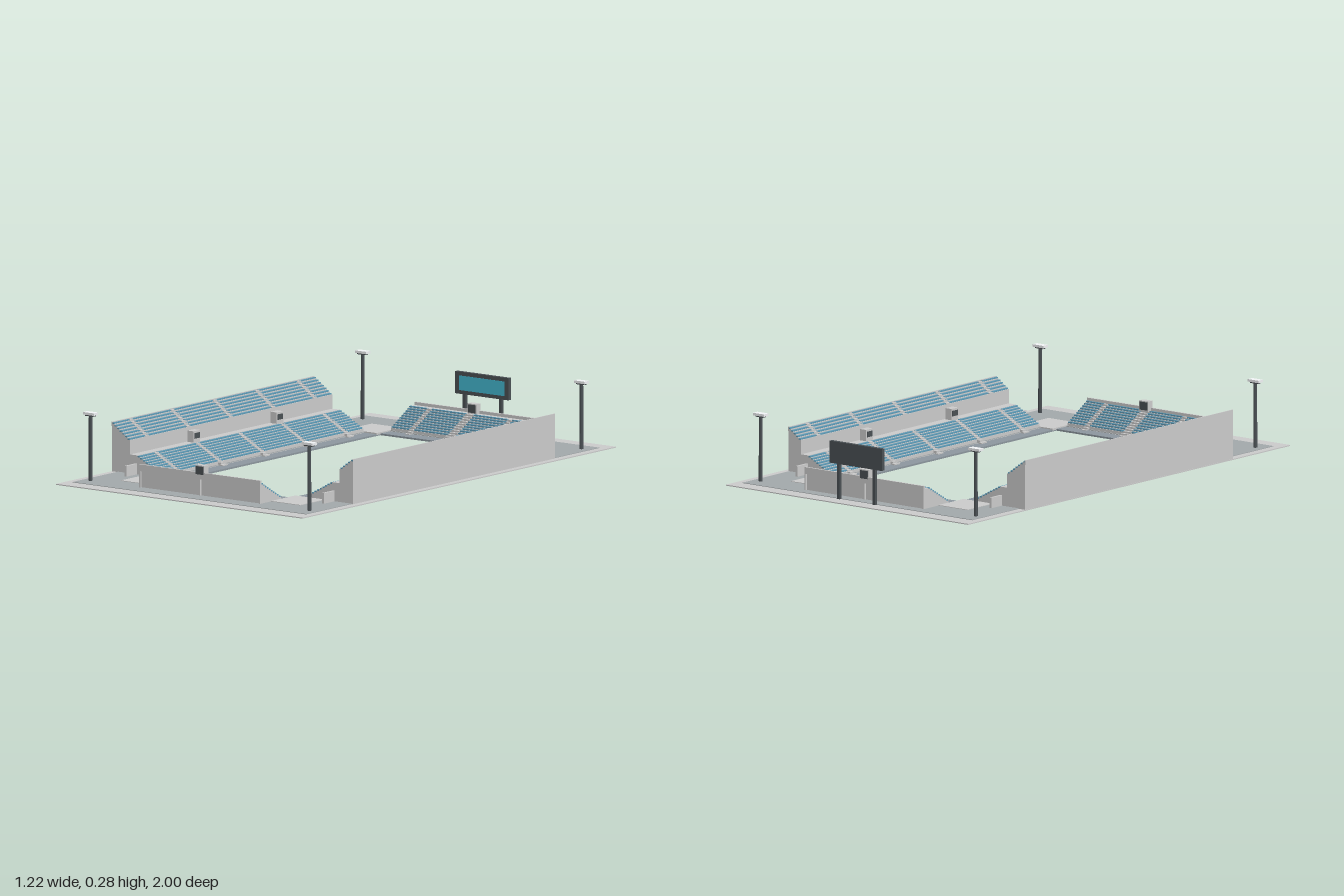
import * as THREE from 'three';

const mat = (color) => new THREE.MeshStandardMaterial({ color, flatShading: true });
const concrete = mat(0xcccccc);
const road = mat(0xa3a9ab);
const apron = mat(0x8d979f);
const seatBlue = mat(0x5f9cb8);
const dark = mat(0x4a5054);
const screenBlue = mat(0x44b8d0);
const white = mat(0xf2f4f6);

// Box given by its min and max corners
function box(parent, name, m, x0, x1, y0, y1, z0, z1) {
  const mesh = new THREE.Mesh(new THREE.BoxGeometry(x1 - x0, y1 - y0, z1 - z0), m);
  mesh.position.set((x0 + x1) / 2, (y0 + y1) / 2, (z0 + z1) / 2);
  mesh.name = name;
  parent.add(mesh);
  return mesh;
}

// Flat rectangular frame lying on the ground
function ring(parent, name, m, outX, outZ, inX, inZ, y0, y1) {
  const rect = (path, x, z) => {
    path.moveTo(-x, -z);
    path.lineTo(x, -z);
    path.lineTo(x, z);
    path.lineTo(-x, z);
    path.closePath();
    return path;
  };
  const shape = rect(new THREE.Shape(), outX, outZ);
  shape.holes.push(rect(new THREE.Path(), inX, inZ));
  const geo = new THREE.ExtrudeGeometry(shape, { depth: y1 - y0, bevelEnabled: false });
  geo.rotateX(-Math.PI / 2).translate(0, y0, 0);
  const mesh = new THREE.Mesh(geo, m);
  mesh.name = name;
  parent.add(mesh);
}

// Side profile [depth, height] swept along the stand's length
function sweep(parent, name, m, points, x0, x1) {
  const shape = new THREE.Shape(points.map(([d, y]) => new THREE.Vector2(d, y)));
  const geo = new THREE.ExtrudeGeometry(shape, { depth: x1 - x0, bevelEnabled: false });
  geo.rotateY(-Math.PI / 2).translate(x1, 0, 0);
  const mesh = new THREE.Mesh(geo, m);
  mesh.name = name;
  parent.add(mesh);
}

// Stepped terrace: t = { d, y, n, run, rise }
function steps(t) {
  const pts = [];
  for (let i = 0; i < t.n; i++) {
    pts.push([t.d + i * t.run, t.y + i * t.rise], [t.d + (i + 1) * t.run, t.y + i * t.rise]);
  }
  return pts;
}

// Rows of seats split by aisles, plus a stair in every aisle
function seating(stand, t, half, aisles, lead) {
  const edges = [-half, ...aisles.flatMap(([x, w]) => [x - w / 2, x + w / 2]), half];
  for (let i = 0; i < t.n; i++) {
    const d = t.d + i * t.run, y = t.y + i * t.rise;
    for (let k = 0; k < edges.length; k += 2) {
      box(stand, 'seatRow', seatBlue, edges[k], edges[k + 1], y, y + 0.005, d + t.run * 0.25, d + t.run);
    }
  }
  for (const [x, w] of aisles) {
    // Stair reaches past the front row and widens at its foot
    for (let i = -lead; i < t.n; i++) {
      const d = t.d + i * t.run, y = t.y + i * t.rise;
      const hw = w / 2 + (lead && i === -lead ? 0.006 : 0);
      box(stand, 'aisleStep', concrete, x - hw, x + hw, i < 0 ? 0.006 : y - 0.004, y + 0.004, d, d + t.run);
    }
  }
}

// Two-tier stand along a long side; depth runs outwards along +z
function sideStand(name, upperRows) {
  const stand = new THREE.Group();
  stand.name = name;
  const half = 0.645;
  const aisles = [-0.535, -0.27, 0, 0.27, 0.535].map((x) => [x, 0.022]);
  const lower = { d: 0.366, y: 0.022, n: 9, run: 0.013, rise: 0.007 };
  const upper = { d: 0.52, y: 0.142, n: upperRows, run: 0.013, rise: 0.0092 };
  const back = upper.d + upperRows * upper.run;
  sweep(stand, 'terrace', concrete, [
    [0.366, 0.006], ...steps(lower), [0.483, 0.085], [0.52, 0.085], ...steps(upper), [back, 0.006],
  ], -half, half);
  seating(stand, lower, half, aisles, 2);
  seating(stand, upper, half, aisles, 0);
  const top = upper.y + (upperRows - 1) * upper.rise;
  box(stand, 'rearParapet', concrete, -half, half, top - 0.01, top + 0.008, back - 0.003, back + 0.001);
  for (const s of [-1, 1]) {
    // Cabins on the walkway and wing walls at the ends
    box(stand, 'cabin', concrete, s * 0.265 - 0.021, s * 0.265 + 0.021, 0.085, 0.13, 0.484, 0.514);
    box(stand, 'cabinWindow', dark, s * 0.265 - 0.016, s * 0.265 + 0.016, 0.1, 0.122, 0.482, 0.486);
    box(stand, 'wingWall', concrete, s * 0.678 - 0.034, s * 0.678 + 0.034, 0.006, 0.052, 0.485, 0.495);
  }
  return stand;
}

// Single-tier stand behind one end
function endStand(name, back) {
  const stand = new THREE.Group();
  stand.name = name;
  const half = 0.3;
  const t = { d: 0.738, y: 0.02, n: 10, run: 0.0124, rise: 0.0073 };
  sweep(stand, 'terrace', concrete, [
    [0.738, 0.006], ...steps(t), [0.862, 0.09], [back - 0.008, 0.09], [back - 0.008, 0.006],
  ], -half, half);
  seating(stand, t, half, [[-0.2, 0.022], [0, 0.04], [0.2, 0.022]], 3);
  box(stand, 'rearBeam', concrete, -half, half, 0.075, 0.102, back - 0.009, back);
  for (const x of [-0.297, 0, 0.297]) {
    box(stand, 'rearPillar', concrete, x - 0.003, x + 0.003, 0.006, 0.08, back - 0.01, back);
  }
  // Control cabin with dark glazing front and rear
  box(stand, 'cabin', concrete, -0.022, 0.022, 0.088, 0.13, back - 0.028, back - 0.001);
  for (const d of [back - 0.028, back]) {
    box(stand, 'cabinWindow', dark, -0.019, 0.019, 0.094, 0.126, d - 0.002, d + 0.002);
  }
  return stand;
}

function lightTower(x, z) {
  const tower = new THREE.Group();
  tower.name = 'lightTower';
  const pole = new THREE.Mesh(new THREE.CylinderGeometry(0.007, 0.008, 0.264, 8), dark);
  pole.name = 'pole';
  pole.position.y = 0.14;
  tower.add(pole);
  box(tower, 'lampHead', white, -0.027, 0.027, 0.272, 0.282, -0.014, 0.014);
  box(tower, 'lampBracket', dark, -0.02, 0.02, 0.267, 0.272, -0.009, 0.009);
  tower.position.set(x, 0, z);
  return tower;
}

function scoreboard() {
  const board = new THREE.Group();
  board.name = 'scoreboard';
  box(board, 'boardFrame', dark, -0.132, 0.132, 0.149, 0.237, -0.008, 0.008);
  box(board, 'screen', screenBlue, -0.113, 0.113, 0.164, 0.222, 0.007, 0.0095);
  for (const x of [-0.09, 0.09]) {
    box(board, 'boardPost', dark, x - 0.007, x + 0.007, 0.008, 0.152, -0.006, 0.006);
  }
  board.position.z = -0.938;
  return board;
}

export function createModel() {
  const model = new THREE.Group();
  model.name = 'stadium';

  // Ground slabs around the open field
  ring(model, 'apron', apron, 0.366, 0.738, 0.3, 0.67, 0, 0.007);
  ring(model, 'outerSlab', concrete, 0.612, 1, 0.36, 0.73, 0.004, 0.008);
  ring(model, 'serviceRoad', road, 0.58, 0.935, 0.362, 0.732, 0.006, 0.01);
  for (const sx of [-1, 1]) for (const sz of [-1, 1]) {
    box(model, 'cornerPlaza', concrete, sx * 0.3725 - 0.0725, sx * 0.3725 + 0.0725,
      0.004, 0.012, sz * 0.7225 - 0.0775, sz * 0.7225 + 0.0775);
    model.add(lightTower(sx * 0.543, sz * 0.868));
  }

  // Four stands turned to face the field
  const stands = [
    [sideStand('leftStand', 5), Math.PI / 2],
    [sideStand('rightStand', 7), -Math.PI / 2],
    [endStand('frontStand', 0.87), 0],
    [endStand('backStand', 0.895), Math.PI],
  ];
  for (const [stand, angle] of stands) {
    stand.rotation.y = angle;
    model.add(stand);
  }

  model.add(scoreboard());
  return model;
}
